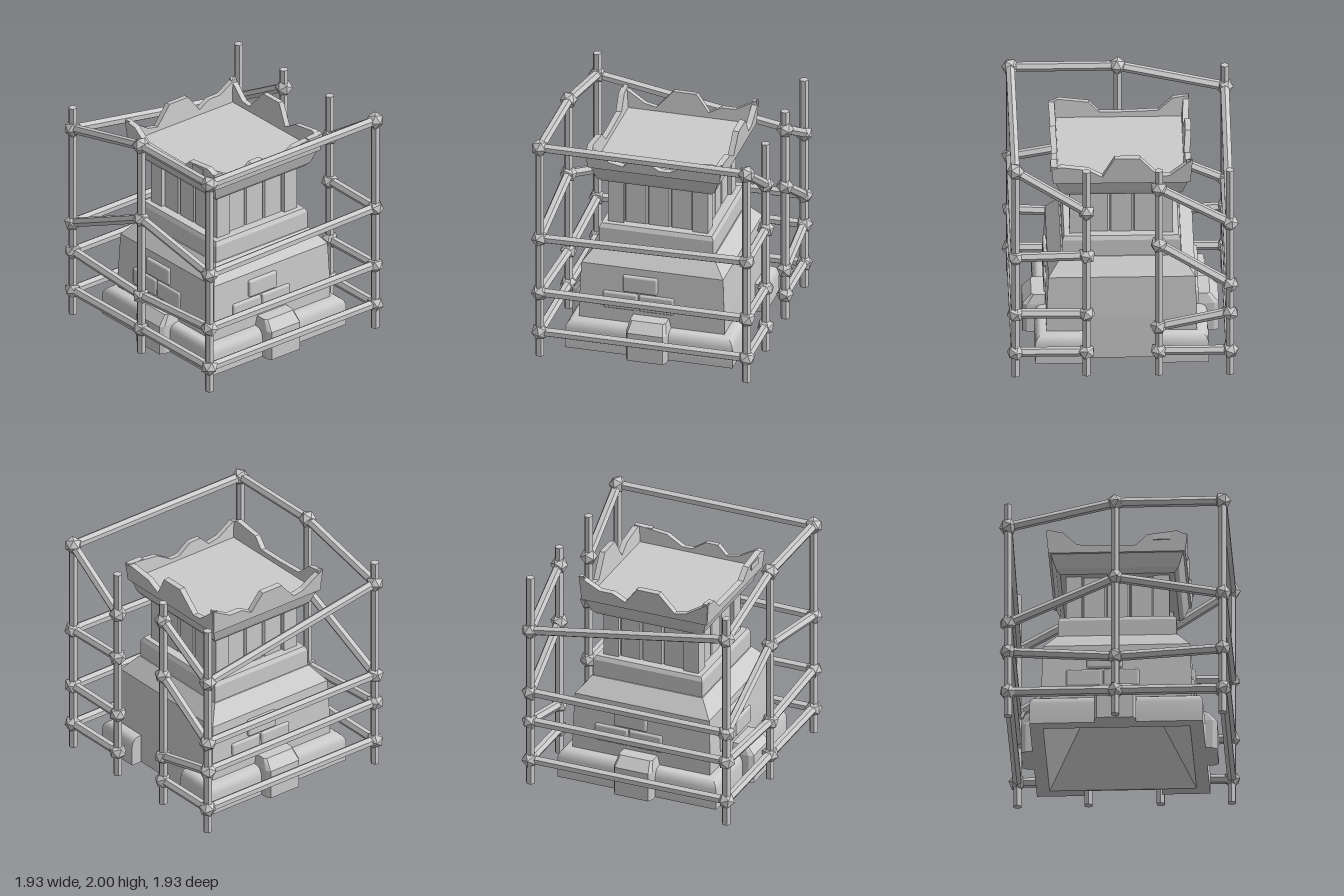
import * as THREE from 'three';
import { toCreasedNormals } from 'three/addons/utils/BufferGeometryUtils.js';
import { RoundedBoxGeometry } from 'three/addons/geometries/RoundedBoxGeometry.js';

const flat = new THREE.MeshStandardMaterial({ color: 0xcccccc, flatShading: true });
const smooth = new THREE.MeshStandardMaterial({ color: 0xcccccc, side: THREE.DoubleSide });

function add(parent, name, geometry, material = flat) {
  const mesh = new THREE.Mesh(geometry, material);
  mesh.name = name;
  parent.add(mesh);
  return mesh;
}

// Square solid of revolution: points are [half width, height], bottom to top
function squareLathe(points) {
  const pts = points.map(([r, y]) => new THREE.Vector2(r * Math.SQRT2, y));
  return new THREE.LatheGeometry(pts, 4, Math.PI / 4);
}

// Extruded outline in x,y
function slab(points, depth, steps = 1) {
  const shape = new THREE.Shape(points.map(([x, y]) => new THREE.Vector2(x, y)));
  return new THREE.ExtrudeGeometry(shape, { depth, steps, bevelEnabled: false });
}

// Plan outline in x,z raised upward
function prism(points, height, steps) {
  return slab(points.map(([x, z]) => [x, -z]), height, steps).rotateX(-Math.PI / 2);
}

// Hexagonal bar between two points
function bar(parent, name, a, b, radius) {
  const dir = b.clone().sub(a);
  const g = new THREE.CylinderGeometry(radius, radius, dir.length(), 6).rotateY(Math.PI / 2);
  const mesh = add(parent, name, g);
  mesh.position.copy(a).add(b).multiplyScalar(0.5);
  mesh.quaternion.setFromUnitVectors(new THREE.Vector3(0, 1, 0), dir.normalize());
}

// Mitred skirt around the base, open in the middle of the +x side
function skirtGeometry() {
  const profile = [[0.61, 0.01], [0.72, 0.01], [0.72, 0.19], [0.712, 0.22], [0.697, 0.245], [0.675, 0.26], [0.64, 0.266], [0.61, 0.268]];
  const stations = [
    d => [d, 0.32], d => [d, d], d => [-d, d], d => [-d, -d], d => [d, -d], d => [d, -0.32],
  ];
  const n = profile.length, pos = [], idx = [];
  for (const s of stations) {
    for (const [d, y] of profile) {
      const [x, z] = s(d);
      pos.push(x, y, z);
    }
  }
  for (let i = 0; i < stations.length - 1; i++) {
    for (let j = 0; j < n; j++) {
      const k = (j + 1) % n, a = i * n + j, b = i * n + k;
      idx.push(a, b, b + n, a, b + n, a + n);
    }
  }
  const last = (stations.length - 1) * n;
  for (let j = 1; j < n - 1; j++) {
    idx.push(0, j + 1, j, last, last + j, last + j + 1);
  }
  const g = new THREE.BufferGeometry();
  g.setAttribute('position', new THREE.Float32BufferAttribute(pos, 3));
  g.setIndex(idx);
  return toCreasedNormals(g, 0.7);
}

// Buttress with chamfered corners and a sloped top, projecting along +z
function buttressGeometry() {
  const plan = [[-0.18, 0.61], [-0.18, 0.775], [-0.158, 0.815], [0.145, 0.815], [0.167, 0.775], [0.167, 0.61]];
  const g = prism(plan, 0.34, 4).translate(0, 0.01, 0);
  const p = g.attributes.position;
  for (let i = 0; i < p.count; i++) {
    if (p.getY(i) > 0.34) {
      p.setX(i, p.getX(i) * 0.88);
      if (p.getZ(i) > 0.7) p.setZ(i, 0.72 + (p.getZ(i) - 0.775) * 0.5);
    }
  }
  return g;
}

function buildTower() {
  const tower = new THREE.Group();
  tower.name = 'tower';

  // Body with a deep hollow underside, sloping shoulder and collar
  add(tower, 'body', squareLathe([
    [0, 1.05], [0.61, 0.01], [0.625, 0.01], [0.625, 0.4], [0.61, 0.765], [0.5, 0.905],
    [0.492, 0.905], [0.492, 1.05], [0.475, 1.085], [0, 1.09],
  ]));
  add(tower, 'baseSkirt', skirtGeometry(), smooth);
  add(tower, 'neckCore', new THREE.BoxGeometry(0.74, 0.41, 0.74)).position.y = 1.285;
  add(tower, 'cornice', squareLathe([
    [0, 1.48], [0.475, 1.48], [0.51, 1.52], [0.55, 1.635], [0.57, 1.64], [0.57, 1.655], [0, 1.655],
  ]));

  // Broken parapet outlines, left to right as seen from outside
  const parapets = [
    [[-0.58, 1.79], [-0.53, 1.8], [-0.37, 1.71], [-0.26, 1.69], [-0.18, 1.77], [-0.07, 1.77], [0.05, 1.69], [0.14, 1.69], [0.28, 1.77], [0.58, 1.8]],
    [[-0.58, 1.78], [-0.5, 1.8], [-0.28, 1.77], [-0.16, 1.7], [-0.06, 1.88], [0.15, 1.88], [0.31, 1.7], [0.4, 1.71], [0.58, 1.86]],
    [[-0.58, 1.86], [-0.4, 1.76], [-0.28, 1.76], [-0.17, 1.7], [-0.06, 1.85], [0.14, 1.85], [0.28, 1.69], [0.38, 1.71], [0.58, 1.84]],
    [[-0.58, 1.84], [-0.45, 1.82], [-0.33, 1.71], [-0.07, 1.7], [0.16, 1.7], [0.25, 1.79], [0.5, 1.82], [0.58, 1.78]],
  ];

  // Everything repeated on the four sides: front, +x, back, -x
  for (let i = 0; i < 4; i++) {
    const side = new THREE.Group();
    side.name = 'side' + i;
    side.rotation.y = i * Math.PI / 2;
    tower.add(side);

    const outline = [[-0.565, 0], [0.565, 0], ...parapets[i].map(([x, y]) => [x, y - 1.64]).reverse()];
    const wall = add(side, 'parapet', slab(outline, 0.05));
    wall.position.set(0, 1.64, 0.52);
    wall.rotation.x = 0.09;

    const post = add(side, 'cornerPost', new THREE.BoxGeometry(0.135, 0.41, 0.135));
    post.position.set(0.3625, 1.285, 0.3625);
    for (const x of [-0.197, 0, 0.197]) {
      const plank = [[x - 0.098, 0.36], [x - 0.098, 0.385], [x - 0.085, 0.4], [x + 0.085, 0.4], [x + 0.098, 0.385], [x + 0.098, 0.36]];
      add(side, 'neckPlank', prism(plank, 0.41)).position.y = 1.08;
    }

    if (i === 1) continue; // entrance side stays bare
    add(side, 'buttress', buttressGeometry());
    for (const [x, y] of [[-0.27, 0.46], [0.04, 0.46], [-0.1, 0.625]]) {
      const brick = add(side, 'wallBrick', new RoundedBoxGeometry(0.3, 0.155, 0.05, 2, 0.02), smooth);
      brick.position.set(x, y, 0.615);
    }
  }

  // Patch plates on the parapet
  add(tower, 'frontPatch', new THREE.BoxGeometry(0.13, 0.05, 0.05)).position.set(0.49, 1.765, 0.565);
  add(tower, 'sidePatch', new THREE.BoxGeometry(0.04, 0.05, 0.14)).position.set(-0.57, 1.76, 0.37);
  return tower;
}

function buildScaffold() {
  const scaffold = new THREE.Group();
  scaffold.name = 'scaffold';

  // Poles in order around the tower, with joint heights from top to bottom
  const poles = [
    { x: 0.89, z: 0.3, top: 1.93, joints: [1.545, 1.13, 0.58, 0.22] },
    { x: 0.89, z: 0.89, top: 1.94, joints: [1.935, 1.12, 0.585, 0.22] },
    { x: -0.89, z: 0.89, top: 1.94, joints: [1.935, 1.09, 0.585, 0.22] },
    { x: -0.89, z: 0, top: 1.94, joints: [1.935, 1.25, 0.53, 0.22] },
    { x: -0.89, z: -0.89, top: 1.93, joints: [1.73, 0.85, 0.585, 0.22] },
    { x: 0.89, z: -0.89, top: 1.93, joints: [1.43, 0.85, 0.58, 0.22] },
    { x: 0.89, z: -0.3, top: 1.93, joints: [1.76, 1.23, 0.45, 0.22] },
  ];
  const at = (p, y) => new THREE.Vector3(p.x, y, p.z);
  poles.forEach((p, i) => {
    bar(scaffold, 'pole', at(p, 0), at(p, p.top), 0.038);
    p.joints.forEach((y, j) => {
      const joint = add(scaffold, 'joint', new THREE.IcosahedronGeometry(0.075, 0));
      joint.position.copy(at(p, y));
      joint.rotation.set(0.4 * j, i + j, 0);
      const next = poles[i + 1];
      if (next) bar(scaffold, 'rail', at(p, y), at(next, next.joints[j]), 0.041);
    });
  });
  return scaffold;
}

export function createModel() {
  const model = new THREE.Group();
  model.name = 'scaffoldedTower';
  model.add(buildTower(), buildScaffold());
  return model;
}
